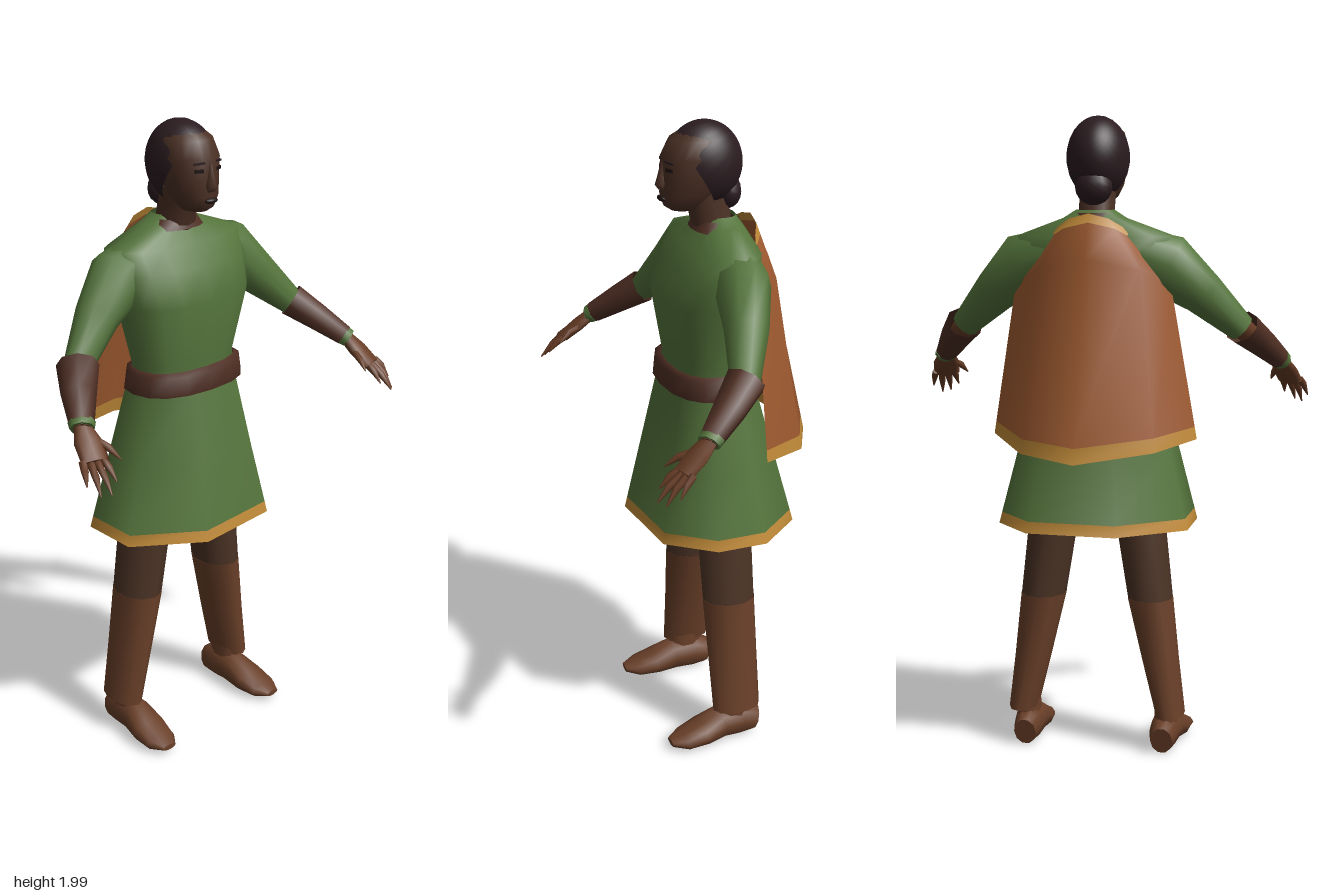
import * as THREE from 'three';

const mat = (name, color, side = THREE.FrontSide) => {
  const m = new THREE.MeshStandardMaterial({ color, side });
  m.name = name;
  return m;
};
const V = (x, y, z) => new THREE.Vector3(x, y, z);

// Skin a list of equal-length point rows; closed rows wrap round, caps are fans.
function loft(rows, { closed = true, caps = false } = {}) {
  const n = rows[0].length, pos = [], idx = [];
  rows.forEach(r => r.forEach(p => pos.push(p.x, p.y, p.z)));
  for (let i = 0; i < rows.length - 1; i++)
    for (let j = 0; j < (closed ? n : n - 1); j++) {
      const k = (j + 1) % n, a = i * n + j, b = i * n + k, c = a + n, d = b + n;
      idx.push(a, b, d, a, d, c);
    }
  if (caps) [0, rows.length - 1].forEach((ri, end) => {
    const c = rows[ri].reduce((s, p) => s.add(p), V(0, 0, 0)).divideScalar(n);
    const start = pos.length / 3;
    rows[ri].forEach(p => pos.push(p.x, p.y, p.z));
    pos.push(c.x, c.y, c.z);
    for (let j = 0; j < n; j++) {
      const k = (j + 1) % n;
      idx.push(start + n, start + (end ? j : k), start + (end ? k : j));
    }
  });
  const g = new THREE.BufferGeometry();
  g.setAttribute('position', new THREE.Float32BufferAttribute(pos, 3));
  g.setIndex(idx);
  g.computeVertexNormals();
  return g;
}

// Horizontal ring: half width rx about cx, reaching z front and z back.
function ring([y, rx, front, back, cx = 0], n = 16, power = 0.85) {
  const soft = v => Math.sign(v) * Math.abs(v) ** power;
  return Array.from({ length: n }, (_, j) => {
    const a = (j / n) * Math.PI * 2;
    return V(cx + rx * soft(Math.sin(a)), y,
      (front + back) / 2 + (front - back) / 2 * soft(Math.cos(a)));
  });
}

// Limb along [x, y, z, half width, half height] stations.
function limb(stations, n = 8, caps = true) {
  const c = stations.map(s => V(s[0], s[1], s[2]));
  return loft(stations.map((s, i) => {
    const d = c[Math.min(i + 1, c.length - 1)].clone().sub(c[Math.max(i - 1, 0)]).normalize();
    const u = V(0, 1, 0).cross(d).normalize(), v = d.clone().cross(u);
    return Array.from({ length: n }, (_, j) => {
      const a = (j / n) * Math.PI * 2;
      return c[i].clone().addScaledVector(u, s[3] * Math.cos(a)).addScaledVector(v, s[4] * Math.sin(a));
    });
  }), { caps });
}

const mixRows = (a, b, t) => a.map((p, i) => p.clone().lerp(b[i], t));

export function createModel() {
  const D = THREE.DoubleSide;
  const green = mat('tunic green', 0x55743c, D);
  const trim = mat('ochre trim', 0xc08a38, D);
  const orange = mat('cape orange', 0x9e5a30, D);
  const boot = mat('boot brown', 0x6a4029, D);
  const trouser = mat('trouser brown', 0x4b3325, D);
  const leather = mat('dark leather', 0x4f2f24, D);
  const skin = mat('face skin', 0x4b3024);
  const glove = mat('hand brown', 0x683d26);
  const hair = mat('hair dark', 0x2b1c20, D);
  const dark = mat('eye dark', 0x1d1210);

  const model = new THREE.Group();
  model.name = 'cloakedFigure';
  const add = (name, geo, material, parent = model) => {
    const m = new THREE.Mesh(geo, material);
    m.name = name;
    parent.add(m);
    return m;
  };

  // Tunic body
  add('tunicBody', loft([
    [1.18, .178, .11, -.11], [1.27, .18, .1, -.11], [1.47, .232, .13, -.14],
    [1.57, .25, .09, -.155], [1.635, .25, .045, -.15], [1.69, .1, .0, -.125], [1.715, .06, -.01, -.11],
  ].map(r => ring(r))), green);

  // Flared skirt with an uneven eight-sided hem and a trim band
  const hem = [[-.1, .22], [.19, .19], [.3, .05], [.3, -.11], [.18, -.25], [-.1, -.265], [-.3, -.11], [-.305, .08]]
    .map(([x, z]) => V(x, .735, z));
  const waist = hem.map(p => V(p.x * .62, 1.2, p.z * .55));
  const band = mixRows(hem, waist, .075);
  add('skirt', loft([band, mixRows(hem, waist, .5), waist]), green);
  add('skirtTrim', loft([hem, band]), trim);

  // Belt
  add('belt', loft([
    [1.185, .19, .115, -.12], [1.19, .207, .13, -.135], [1.25, .198, .125, -.13], [1.26, .18, .105, -.11],
  ].map(r => ring(r))), leather);

  // Cape, from its lower edge up to the neck
  const row = pts => pts.map(p => V(...p));
  const capeLow = row([[.315, 1.02, -.1], [.19, .985, -.27], [.01, .97, -.357], [-.22, 1, -.27], [-.325, 1.02, -.1]]);
  const capeMid = row([[.245, 1.49, -.09], [.15, 1.54, -.19], [0, 1.57, -.225], [-.16, 1.54, -.19], [-.24, 1.49, -.09]]);
  const capeTop = row([[.1, 1.665, -.14], [.06, 1.69, -.16], [0, 1.705, -.165], [-.06, 1.69, -.16], [-.1, 1.665, -.14]]);
  const lowBand = mixRows(capeLow, capeMid, .08), topBand = mixRows(capeTop, capeMid, .2);
  const open = { closed: false };
  add('cape', loft([lowBand, capeMid, topBand], open), orange);
  add('capeLowerTrim', loft([capeLow, lowBand], open), trim);
  add('capeNeckTrim', loft([topBand, capeTop], open), trim);

  // Collar and neck
  add('collar', loft([[1.675, .1, .025, -.13], [1.705, .072, .012, -.12]].map(r => ring(r))), leather);
  add('neck', loft([[1.64, .062, .01, -.11], [1.72, .056, .03, -.095], [1.8, .056, .06, -.08]].map(r => ring(r, 12))), skin);

  // Head
  const head = new THREE.Group();
  head.name = 'head';
  model.add(head);
  add('face', loft([
    [1.74, .034, .09, .0], [1.755, .05, .112, -.02], [1.79, .07, .122, -.05], [1.84, .084, .117, -.08],
    [1.9, .09, .117, -.09], [1.95, .078, .092, -.085], [1.982, .045, .04, -.06],
  ].map(r => ring(r, 20, 1)), { caps: true }), skin, head);
  const cap = new THREE.SphereGeometry(1, 24, 16, 0, Math.PI * 2, 0, 1.95);
  cap.rotateX(-.98).scale(.097, .127, .118).translate(0, 1.873, -.014);
  add('hair', cap, hair, head);
  const bun = new THREE.SphereGeometry(1, 14, 10).scale(.058, .055, .045).translate(0, 1.783, -.085);
  add('hairBun', bun, hair, head);
  add('nose', loft([
    [1.805, .017, .128, .09], [1.82, .02, .139, .09], [1.845, .013, .131, .09], [1.885, .008, .12, .09],
  ].map(r => ring(r, 8, 1)), { caps: true }), skin, head);
  add('lips', new THREE.SphereGeometry(1, 12, 8).scale(.024, .009, .012).translate(0, 1.778, .118), dark, head);

  for (const s of [1, -1]) {
    const side = s > 0 ? 'left' : 'right';
    const mirrored = list => list.map(([x, ...rest]) => [x * s, ...rest]);

    // Eye and brow
    const eye = add(side + 'Eye', new THREE.BoxGeometry(.027, .01, .006), dark, head);
    eye.position.set(s * .038, 1.868, .107);
    eye.rotation.y = s * .42;
    const brow = add(side + 'Brow', new THREE.BoxGeometry(.034, .006, .006), hair, head);
    brow.position.set(s * .038, 1.89, .107);
    brow.rotation.set(0, s * .42, -s * .1);

    // Sleeve, bracer and cuff
    const arm = new THREE.Group();
    arm.name = side + 'Arm';
    model.add(arm);
    add('sleeve', limb(mirrored([
      [.08, 1.6, -.07, .075, .075], [.225, 1.548, -.05, .085, .1], [.33, 1.46, -.02, .066, .07], [.445, 1.35, .03, .044, .044],
    ]), 10), green, arm);
    add('bracer', limb(mirrored([
      [.445, 1.355, .03, .063, .055], [.5, 1.3, .1, .052, .045], [.55, 1.245, .172, .037, .034],
    ]), 8, false), leather, arm);
    add('forearm', limb(mirrored([[.43, 1.365, .02, .038, .038], [.56, 1.235, .185, .026, .024]])), glove, arm);
    add('cuff', limb(mirrored([[.548, 1.247, .17, .04, .033], [.559, 1.236, .185, .036, .03]])), green, arm);

    // Hand with pointed fingers
    add('palm', limb(mirrored([
      [.553, 1.24, .178, .026, .02], [.566, 1.205, .22, .043, .02], [.58, 1.165, .268, .042, .016],
    ])), glove, arm);
    [[.612, 1.17, .25, .635, 1.115, .295], [.596, 1.165, .265, .614, 1.09, .33], [.577, 1.165, .27, .59, 1.095, .348],
      [.558, 1.17, .268, .557, 1.12, .33], [.54, 1.205, .225, .515, 1.165, .3]].forEach(([a, b, c, x, y, z]) =>
      add('finger', limb(mirrored([
        [a, b, c, .012, .012], [(a + x) / 2, (b + y) / 2 + .008, (c + z) / 2, .011, .011], [x, y, z, .002, .002],
      ]), 6), glove, arm));

    // Trouser leg, boot shaft, ankle and foot
    const leg = new THREE.Group();
    leg.name = side + 'Leg';
    model.add(leg);
    const legRings = list => loft(list.map(([y, r, f, b, x]) => ring([y, r, f, b, x * s], 10, 1)));
    add('trouserLeg', legRings([[.5, .071, .053, -.121, .173], [.73, .078, .06, -.12, .142], [1, .08, .06, -.11, .1]]), trouser, leg);
    add('bootShaft', legRings([[.12, .046, .042, -.118, .24], [.3, .058, .047, -.12, .207], [.5, .072, .054, -.122, .173]]), boot, leg);
    add('ankle', legRings([[.05, .038, .03, -.09, .225], [.2, .038, .025, -.09, .228]]), boot, leg);
    add('foot', limb(mirrored([
      [.222, .05, -.11, .036, .045], [.222, .062, -.06, .046, .06], [.224, .062, .01, .05, .058],
      [.23, .044, .08, .062, .04], [.236, .032, .145, .055, .026], [.238, .03, .19, .025, .01],
    ]), 10), boot, leg);
  }

  return model;
}
